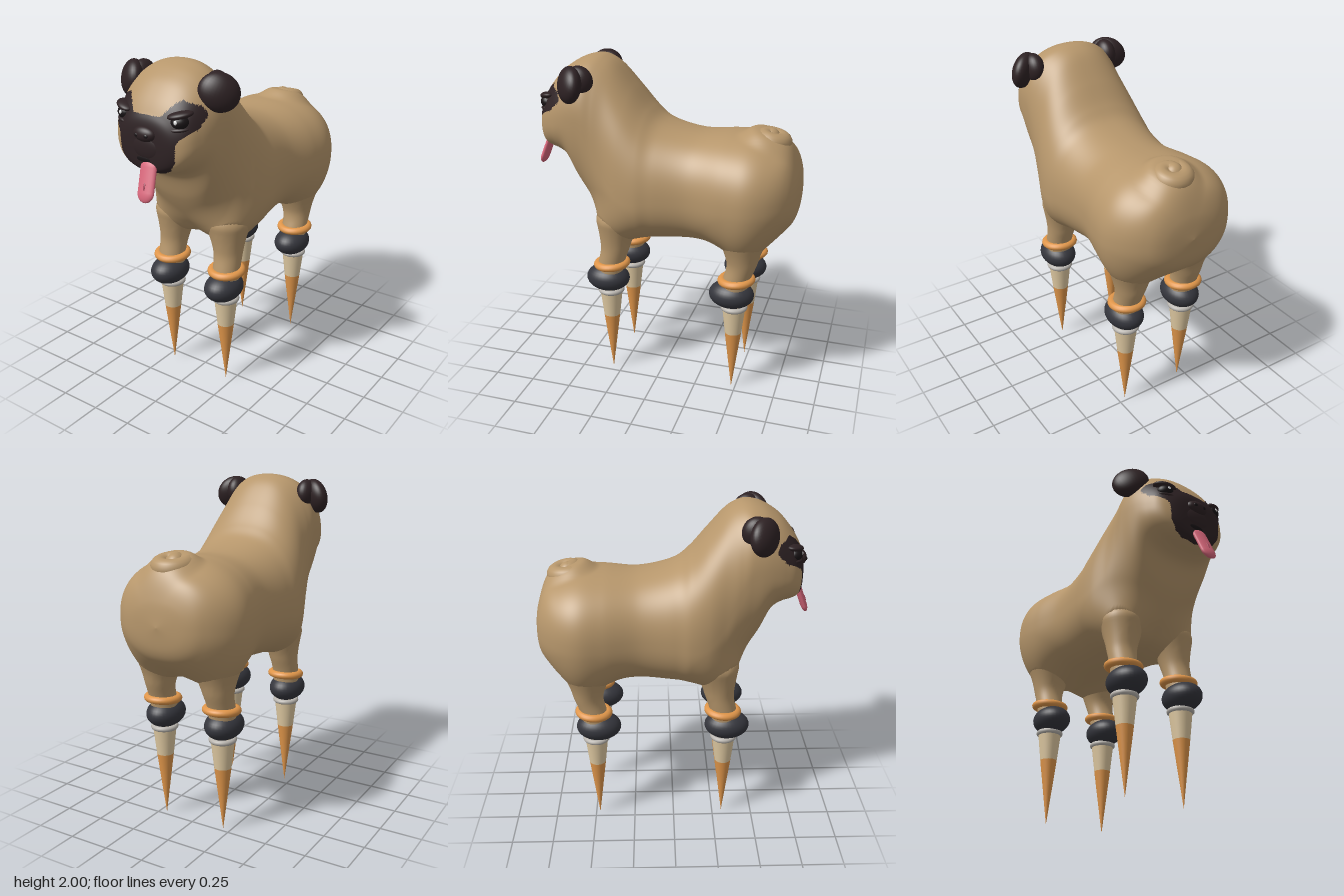
import * as THREE from 'three';
import { mergeVertices } from 'three/addons/utils/BufferGeometryUtils.js';

const { smoothstep } = THREE.MathUtils;
const material = (name, color) => {
  const m = new THREE.MeshStandardMaterial({ color });
  m.name = name;
  return m;
};
// Swelling that rounds the joint between two shapes lying a distance d apart
const fillet = (d, reach = 0.17) => (reach / 4) * Math.max(0, 1 - Math.abs(d) / reach) ** 2;

// Upright cross-sections [z, top, bottom, half width, height of widest point]
const sections = [
  [-0.81, 1.27, 1.27, 0, 1.27], [-0.79, 1.41, 1.13, 0.18, 1.27], [-0.74, 1.52, 1.05, 0.28, 1.27],
  [-0.65, 1.57, 0.98, 0.36, 1.26], [-0.54, 1.60, 0.935, 0.40, 1.25], [-0.40, 1.60, 0.935, 0.385, 1.25],
  [-0.20, 1.59, 0.945, 0.345, 1.25], [0.00, 1.635, 0.93, 0.365, 1.24], [0.10, 1.71, 0.925, 0.38, 1.22],
  [0.20, 1.83, 0.93, 0.37, 1.24], [0.30, 1.945, 0.965, 0.337, 1.36], [0.37, 1.99, 1.03, 0.322, 1.52],
  [0.43, 2.00, 1.11, 0.317, 1.64], [0.50, 1.985, 1.23, 0.31, 1.66], [0.56, 1.955, 1.37, 0.298, 1.65],
  [0.62, 1.91, 1.42, 0.278, 1.63], [0.68, 1.84, 1.435, 0.247, 1.62], [0.72, 1.775, 1.45, 0.20, 1.60],
  [0.745, 1.715, 1.48, 0.13, 1.60], [0.755, 1.60, 1.60, 0, 1.60],
];
const ROUND = 2.3;
const rings = (sections.length - 1) * 12, around = 128;
const spline = (f) => new THREE.CatmullRomCurve3(sections.map(f), false, 'catmullrom', 0.5);
const heights = spline(([z, t, b]) => new THREE.Vector3(z, t, b));
const widths = spline(([z, , , w, m]) => new THREE.Vector3(z, w, m));
const profile = Array.from({ length: rings + 1 }, (_, i) => {
  const { x: z, y: top, z: bottom } = heights.getPoint(i / rings);
  const { y: w, z: mid } = widths.getPoint(i / rings);
  return { z, top, bottom, w, mid };
});
// Approximate distance from a point to the torso
const bodyDistance = (x, y, z) => {
  const { top, bottom, w, mid } = profile.find((p) => p.z >= z);
  const h = y > mid ? top - mid : mid - bottom;
  const rho = ((Math.abs(x) / w) ** ROUND + (Math.abs(y - mid) / h) ** ROUND) ** (1 / ROUND);
  return (rho - 1) * Math.min(w, h);
};

// Half outline of the face mask as [|x|, y]
const maskOutline = [
  [-0.01, 1.76], [0.09, 1.76], [0.125, 1.805], [0.17, 1.845], [0.25, 1.815], [0.283, 1.77], [0.265, 1.70],
  [0.205, 1.66], [0.185, 1.63], [0.178, 1.53], [0.14, 1.475], [0.09, 1.45], [-0.01, 1.44],
];
const inMask = (x, y, z) => {
  if (z < 0.57) return false;
  let inside = false;
  maskOutline.forEach(([x1, y1], i) => {
    const [x2, y2] = maskOutline[(i + 1) % maskOutline.length];
    if ((y1 > y) !== (y2 > y) && Math.abs(x) < x1 + (x2 - x1) * (y - y1) / (y2 - y1)) inside = !inside;
  });
  return inside;
};

const LEG_X = 0.203, THIGH_Z = [0.28, -0.515];
const TAIL = [0.03, -0.615];

// Torso, neck and head in one skin, swelling toward the thighs and the tail
function bodyGeometry() {
  const points = [], coat = [], mask = [];
  for (const { z, top, bottom, w, mid } of profile) {
    for (let j = 0; j < around; j++) {
      const a = (j / around) * Math.PI * 2;
      const power = (v) => Math.sign(v) * Math.abs(v) ** (2 / ROUND);
      const s = power(Math.sin(a));
      points.push(w * power(Math.cos(a)), mid + s * (s > 0 ? top - mid : mid - bottom), z);
    }
  }
  const face = (...ids) => {
    const mid = (k) => ids.reduce((sum, id) => sum + points[id * 3 + k], 0) / 3;
    (inMask(mid(0), mid(1), mid(2)) ? mask : coat).push(...ids);
  };
  for (let i = 0; i < rings; i++) {
    for (let j = 0; j < around; j++) {
      const a = i * around + j, b = i * around + (j + 1) % around;
      face(a, b, a + around);
      face(b, b + around, a + around);
    }
  }
  const geo = new THREE.BufferGeometry();
  geo.setAttribute('position', new THREE.Float32BufferAttribute(points, 3));
  geo.setIndex([...coat, ...mask]);
  geo.addGroup(0, coat.length, 0);
  geo.addGroup(coat.length, mask.length, 1);
  geo.computeVertexNormals();
  const pos = geo.attributes.position, normal = geo.attributes.normal;
  const p = new THREE.Vector3(), n = new THREE.Vector3();
  for (let i = 0; i < pos.count; i++) {
    p.fromBufferAttribute(pos, i);
    n.fromBufferAttribute(normal, i);
    const gaps = THIGH_Z.map((z) => Math.hypot(Math.abs(p.x) - LEG_X, Math.max(0, p.y - 1.03), p.z - z) - 0.088);
    const swell = fillet(Math.min(...gaps));
    const r = Math.hypot(p.x - TAIL[0], p.z - TAIL[1]);
    const mound = p.y > 1.3 ? 0.04 * (1 - smoothstep(r, 0.09, 0.19)) : 0;
    p.addScaledVector(n, swell);
    pos.setXYZ(i, p.x, p.y + mound, p.z);
  }
  geo.computeVertexNormals();
  return geo;
}

// Upper leg: a tube that flares where it meets the torso and tapers inside it
function thighGeometry(side, z0, lean) {
  let geo = new THREE.CylinderGeometry(0.09, 0.08, 0.5, 40, 32, true).translate(0, 0.95, 0);
  geo.deleteAttribute('uv');
  geo.deleteAttribute('normal');
  geo = mergeVertices(geo);
  const pos = geo.attributes.position;
  for (let i = 0; i < pos.count; i++) {
    const x = pos.getX(i), y = pos.getY(i), z = pos.getZ(i);
    const shift = lean * smoothstep(y, 0.7, 0.88);
    const d = bodyDistance(side * LEG_X + x, y, z0 + shift + z);
    const k = (1 + fillet(d) / Math.hypot(x, z)) * (1 - 0.75 * smoothstep(y, 1.03, 1.2));
    pos.setXYZ(i, x * k, y, z * k + shift);
  }
  geo.computeVertexNormals();
  return geo;
}

export function createModel() {
  const tan = material('tan coat', 0xb7976c);
  const dark = material('dark mask', 0x2e2224);
  const black = material('black eye', 0x191416);
  const pink = material('pink tongue', 0xd9687c);
  const rose = material('deep rose', 0xa8475c);
  const orange = material('orange', 0xe0964a);
  const charcoal = material('charcoal', 0x35363d);
  const grey = material('grey', 0xb9b5af);
  const cream = material('cream', 0xe0caa2);
  const white = material('white glint', 0xf2f2f2);

  const root = new THREE.Group();
  root.name = 'dog';
  const add = (name, geometry, mat, pos = [0, 0, 0], rot = [0, 0, 0], scale = [1, 1, 1], parent = root) => {
    const mesh = new THREE.Mesh(geometry, mat);
    mesh.name = name;
    mesh.position.set(...pos);
    mesh.rotation.set(...rot);
    mesh.scale.set(...scale);
    parent.add(mesh);
  };
  const sphere = new THREE.SphereGeometry(1, 32, 20);
  const ball = (name, mat, pos, radii, rot, parent) => add(name, sphere, mat, pos, rot, radii, parent);
  const group = (name, pos, rot) => {
    const g = new THREE.Group();
    g.name = name;
    g.position.set(...pos);
    g.rotation.set(...rot);
    root.add(g);
    return g;
  };

  add('body and head', bodyGeometry(), [tan, dark]);

  // Curled tail sunk into the rump
  const curl = [];
  for (let i = 0; i <= 14; i++) {
    const a = 2.2 + i * 0.5, r = 0.092 - i * 0.0048;
    curl.push(new THREE.Vector3(r * Math.cos(a), i * 0.001, r * Math.sin(a)));
  }
  const tail = group('tail', [TAIL[0], 1.57, TAIL[1]], [-0.17, 0, 0]);
  const tube = new THREE.TubeGeometry(new THREE.CatmullRomCurve3(curl), 64, 0.054, 16);
  add('tail curl', tube, tan, [0, 0, 0], [0, 0, 0], [1, 1, 1], tail);
  ball('tail start', tan, curl[0].toArray(), [0.054, 0.054, 0.054], [0, 0, 0], tail);
  ball('tail tip', tan, curl[14].toArray(), [0.054, 0.054, 0.054], [0, 0, 0], tail);

  // Nose, mouth and tongue
  ball('nose', dark, [0, 1.662, 0.745], [0.072, 0.042, 0.037]);
  ball('muzzle fold', dark, [0, 1.59, 0.735], [0.1, 0.075, 0.025]);
  ball('mouth', black, [-0.01, 1.525, 0.737], [0.075, 0.026, 0.016]);
  const tongue = group('tongue', [0.024, 1.418, 0.767], [-0.36, 0, 0.1]);
  add('tongue flap', new THREE.CapsuleGeometry(0.053, 0.135, 10, 24), pink, [0, 0, 0], [0, 0, 0], [1, 1, 0.38], tongue);
  ball('tongue groove', rose, [0, -0.035, 0.0185], [0.007, 0.022, 0.005], [0, 0, 0], tongue);

  // Eyes, lids, nostrils and ears on both sides
  for (const s of [-1, 1]) {
    const side = s > 0 ? 'left' : 'right';
    ball(`${side} eye`, black, [s * 0.183, 1.738, 0.68], [0.05, 0.04, 0.042], [0, s * 0.5, 0]);
    ball(`${side} eye glint`, white, [s * 0.183, 1.743, 0.718], [0.012, 0.012, 0.008]);
    ball(`${side} brow`, dark, [s * 0.183, 1.775, 0.677], [0.07, 0.021, 0.046], [0, s * 0.55, s * 0.2]);
    ball(`${side} lower lid`, dark, [s * 0.183, 1.702, 0.68], [0.062, 0.016, 0.04], [0, s * 0.55, s * 0.1]);
    ball(`${side} nostril`, black, [s * 0.03, 1.66, 0.774], [0.014, 0.011, 0.008]);
    ball(`${side} ear flap`, dark, [s * 0.292, 1.87, 0.492], [0.113, 0.103, 0.062], [-0.25, s * 0.69, s * -0.25]);
    ball(`${side} ear root`, dark, [s * 0.247, 1.888, 0.45], [0.058, 0.085, 0.08], [0.4, 0, 0]);
  }

  // Legs: thigh, ring, ball joint, collar and spike
  const ring = new THREE.TorusGeometry(0.086, 0.027, 14, 40).rotateX(Math.PI / 2);
  const collar = new THREE.TorusGeometry(0.066, 0.016, 12, 40).rotateX(Math.PI / 2);
  const spikeTop = new THREE.CylinderGeometry(0.07, 0.0505, 0.17, 32);
  const spikeTip = new THREE.ConeGeometry(0.0505, 0.395, 32).rotateX(Math.PI);
  for (const s of [-1, 1]) {
    [0.31, -0.475].forEach((z, i) => {
      const leg = group(`${i ? 'rear' : 'front'} ${s > 0 ? 'left' : 'right'} leg`, [s * LEG_X, 0, z], [0, 0, 0]);
      const part = (name, geo, mat, y, dz = 0, rot, scale) => add(name, geo, mat, [0, y, dz], rot, scale, leg);
      part('thigh', thighGeometry(s, z, THIGH_Z[i] - z), tan, 0);
      part('ankle ring', ring, orange, 0.752, -0.009, [0.08, 0, 0], [1, 0.85, 1]);
      part('ball joint', sphere, charcoal, 0.653, 0.018, [0, 0, 0], [0.107, 0.085, 0.136]);
      part('collar', collar, grey, 0.569);
      part('spike top', spikeTop, cream, 0.48);
      part('spike tip', spikeTip, orange, 0.1975);
    });
  }
  return root;
}
